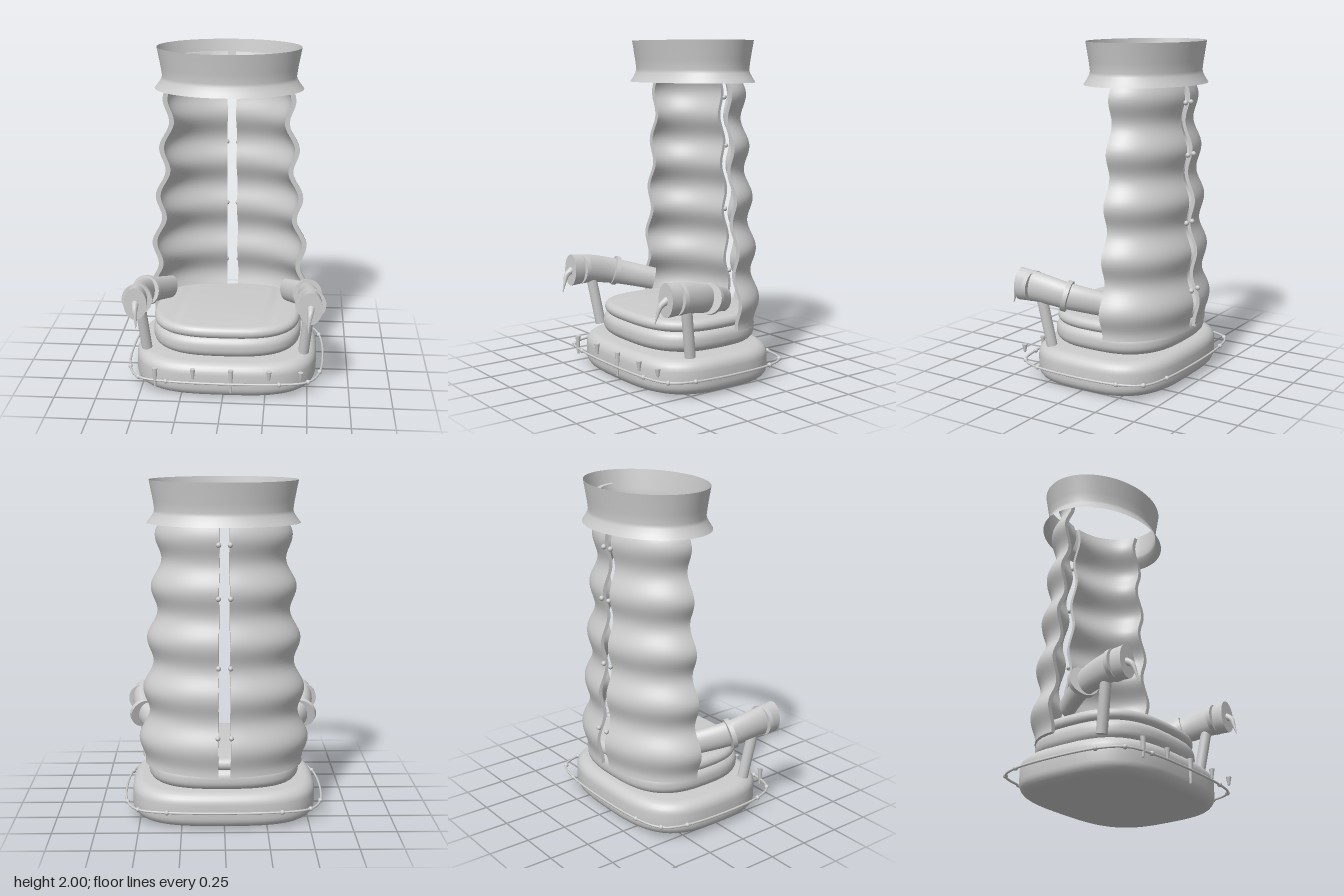
import * as THREE from 'three';
import { toCreasedNormals } from 'three/addons/utils/BufferGeometryUtils.js';

const V = (x, y, z) => new THREE.Vector3(x, y, z);
const gray = new THREE.MeshStandardMaterial({ color: 0xcccccc, side: THREE.DoubleSide });
gray.name = 'plain gray';

function add(parent, name, geometry) {
  const mesh = new THREE.Mesh(geometry, gray);
  mesh.name = name;
  parent.add(mesh);
  return mesh;
}

// Skin a list of equal-length closed rings and cap both ends
function loft(rings, crease = 0.7) {
  const n = rings[0].length, last = (rings.length - 1) * n, index = [];
  for (let i = 0; i < rings.length - 1; i++)
    for (let j = 0; j < n; j++) {
      const a = i * n + j, b = i * n + (j + 1) % n;
      index.push(a, b, b + n, a, b + n, a + n);
    }
  for (let j = 0; j < n / 2 - 1; j++) {
    const k = n - 1 - j;
    index.push(j, k, k - 1, j, k - 1, j + 1);
    index.push(last + j, last + j + 1, last + k - 1, last + j, last + k - 1, last + k);
  }
  const g = new THREE.BufferGeometry();
  g.setAttribute('position', new THREE.Float32BufferAttribute(rings.flat().flatMap(p => [p.x, p.y, p.z]), 3));
  g.setIndex(index);
  return toCreasedNormals(g, crease);
}

// Soft-edged slab with a superellipse outline
function cushion(a, zFront, zBack, y0, y1, r, power) {
  const b = (zFront - zBack) / 2, zc = (zFront + zBack) / 2, rings = [];
  const ring = (inset, y) => Array.from({ length: 48 }, (_, j) => {
    const t = j / 48 * Math.PI * 2, c = Math.cos(t), s = Math.sin(t);
    const soft = v => Math.sign(v) * Math.abs(v) ** (2 / power);
    return V((a - inset) * soft(c), y, zc - (b - inset) * soft(s));
  });
  for (let k = 0; k <= 6; k++) {
    const t = k / 12 * Math.PI;
    rings.push(ring(r * (1 - Math.sin(t)), y0 + r * (1 - Math.cos(t))));
  }
  for (let k = 6; k >= 0; k--) {
    const t = k / 12 * Math.PI;
    rings.push(ring(r * (1 - Math.sin(t)), y1 - r * (1 - Math.cos(t))));
  }
  return loft(rings);
}

// Tapered tube along a path; radius(t) gives [half width, half height]
function taperedTube(points, radius, steps = 16, sides = 24) {
  const curve = new THREE.CatmullRomCurve3(points), rings = [];
  for (let i = 0; i <= steps; i++) {
    const t = i / steps, c = curve.getPoint(t), T = curve.getTangent(t);
    const side = V(0, 1, 0).cross(T).normalize(), up = T.clone().cross(side);
    const [w, h] = radius(t);
    rings.push(Array.from({ length: sides }, (_, j) => {
      const a = j / sides * Math.PI * 2;
      return c.clone().addScaledVector(side, w * Math.cos(a)).addScaledVector(up, h * Math.sin(a));
    }));
  }
  return loft(rings);
}

// Straight cylinder between two points
function rod(parent, name, p, q, r) {
  const d = q.clone().sub(p);
  const mesh = add(parent, name, new THREE.CylinderGeometry(r, r, d.length(), 24));
  mesh.position.copy(p).add(q).multiplyScalar(0.5);
  mesh.quaternion.setFromUnitVectors(V(0, 1, 0), d.normalize());
}

function bead(parent, name, p, r) {
  add(parent, name, new THREE.SphereGeometry(r, 12, 8)).position.copy(p);
}

// Corrugated shell radius, narrowing upward
const SHELL_Z = -0.117, RATIO = 0.71, GAP = 0.077;
const shellRadius = y => 0.455 - 0.088 * (y - 0.78) + 0.025 * Math.cos((y - 0.782) / 0.303 * Math.PI * 2);
const shellPoint = (r, a, y) => V(r * Math.cos(a), y, SHELL_Z - r * RATIO * Math.sin(a));

function shellHalf(a0, a1) {
  const rings = [], arc = 24, steps = 72;
  for (let i = 0; i <= steps; i++) {
    const y = 0.315 + (1.935 - 0.315) * i / steps, r = shellRadius(y), ring = [];
    for (let j = 0; j <= arc; j++) ring.push(shellPoint(r, a0 + (a1 - a0) * j / arc, y));
    for (let j = arc; j >= 0; j--) ring.push(shellPoint(r - 0.03, a0 + (a1 - a0) * j / arc, y));
    rings.push(ring);
  }
  return loft(rings);
}

export function createModel() {
  const model = new THREE.Group();
  model.name = 'chair';

  // Base and seat cushions
  add(model, 'base', cushion(0.555, 0.445, -0.455, 0, 0.21, 0.065, 3.1));
  add(model, 'lowerCushion', cushion(0.455, 0.37, -0.42, 0.22, 0.35, 0.055, 2.8));
  add(model, 'upperCushion', cushion(0.45, 0.36, -0.41, 0.338, 0.41, 0.036, 2.8));

  // Backrest halves with a gap at the back
  add(model, 'leftBackShell', shellHalf(0, Math.PI / 2 - GAP));
  add(model, 'rightBackShell', shellHalf(Math.PI / 2 + GAP, Math.PI));
  for (const y of [0.555, 0.955, 1.355, 1.655])
    for (const s of [1, -1])
      bead(model, 'shellBead', shellPoint(shellRadius(y) + 0.012, Math.PI / 2 + s * 0.08, y), 0.015);

  // Flared collar
  const profile = [[0.445, 1.755], [0.424, 1.782], [0.406, 1.81], [0.4, 1.83], [0.408, 1.885], [0.43, 2]];
  const collar = add(model, 'collar', new THREE.LatheGeometry(profile.map(p => new THREE.Vector2(...p)), 64));
  collar.scale.z = 0.745;
  collar.position.z = -0.13;

  // Cord with beads around the base
  const corner = [[0.575, 0.27], [0.505, 0.41], [0.335, 0.46]];
  const back = [[0.335, -0.467], [0.505, -0.412], [0.575, -0.275]];
  const half = [...back, ...corner];
  const loop = [...half, ...half.map(([x, z]) => [-x, z]).reverse()].map(([x, z]) => V(x, 0.11, z));
  add(model, 'cord', new THREE.TubeGeometry(new THREE.CatmullRomCurve3(loop, true), 160, 0.007, 8, true));
  loop.forEach(p => bead(model, 'cordBead', p, 0.014));

  // Drips hanging on the front of the base
  for (const [x, bottom] of [[-0.4, 0.075], [-0.175, 0.125], [0.05, 0.045], [0.275, 0.13], [0.46, 0.14]]) {
    const h = 0.188 - bottom;
    const drip = add(model, 'drip', new THREE.CylinderGeometry(0.016, 0.007, h, 10));
    drip.position.set(x, bottom + h / 2, 0.449);
  }

  // Arms, mirrored
  for (const s of [1, -1]) {
    const arm = new THREE.Group();
    arm.name = s > 0 ? 'leftArm' : 'rightArm';
    model.add(arm);
    const path = [V(s * 0.362, 0.49, -0.1), V(s * 0.48, 0.545, 0.12), V(s * 0.51, 0.578, 0.3), V(s * 0.51, 0.583, 0.43)];
    add(arm, 'armTube', taperedTube(path, t => [0.045 + 0.023 * t, 0.07 + 0.028 * t]));
    rod(arm, 'frontRing', V(s * 0.51, 0.58, 0.333), V(s * 0.51, 0.582, 0.359), 0.091);
    rod(arm, 'rearRing', V(s * 0.483, 0.543, 0.101), V(s * 0.493, 0.55, 0.126), 0.092);
    rod(arm, 'armPost', V(s * 0.475, 0.225, 0.235), V(s * 0.505, 0.53, 0.285), 0.032);
    const claw = [V(s * 0.511, 0.585, 0.415), V(s * 0.508, 0.56, 0.458), V(s * 0.502, 0.51, 0.478), V(s * 0.498, 0.455, 0.495)];
    add(arm, 'claw', taperedTube(claw, t => [0.022 * (1 - t) + 0.002, 0.022 * (1 - t) + 0.002], 10, 12));
  }
  return model;
}
